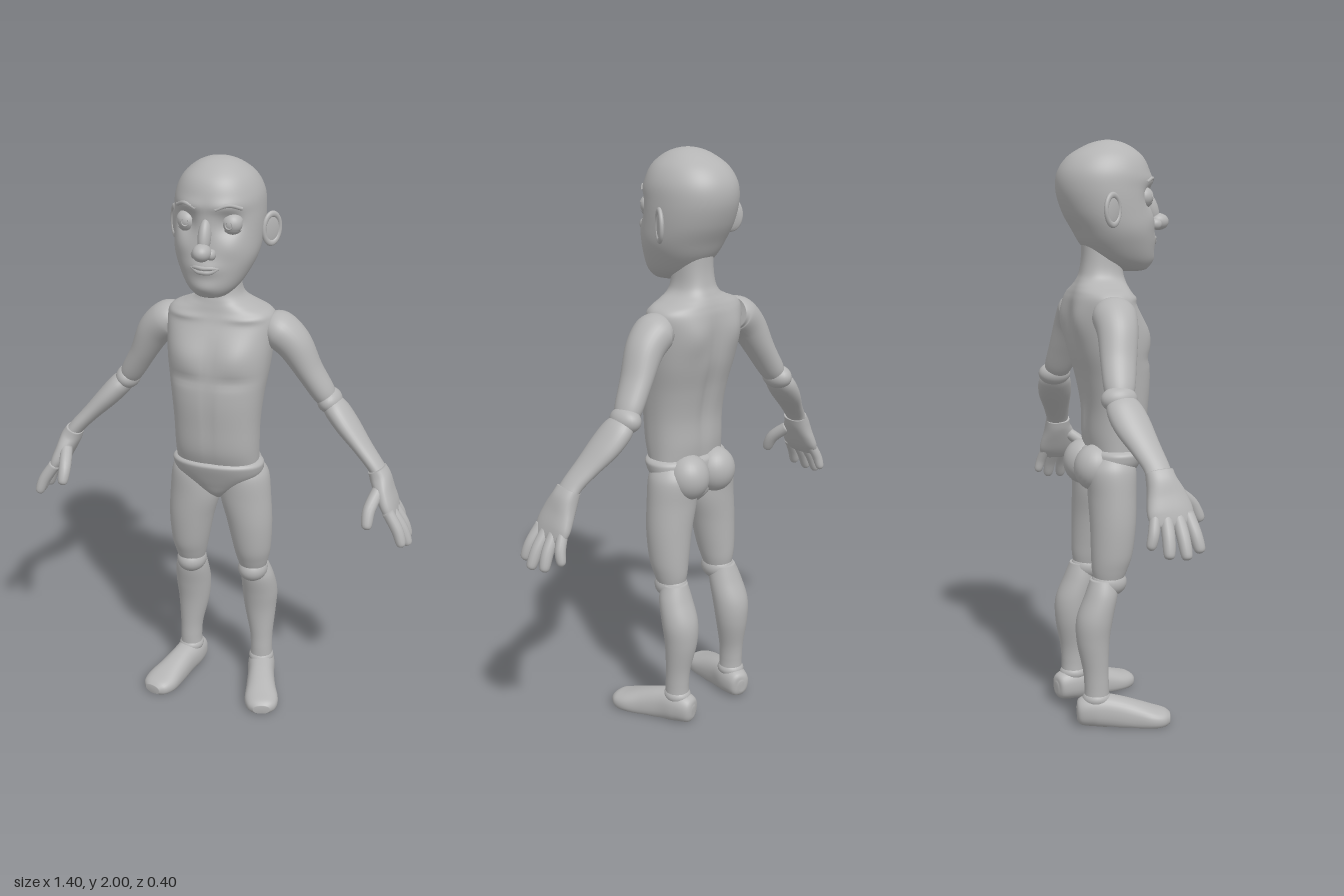
import * as THREE from 'three';

const V = (x, y, z) => new THREE.Vector3(x, y, z);
const bump = (dx, dy, sx, sy) => Math.exp(-((dx / sx) ** 2) - (dy / sy) ** 2);

// Smooth interpolation through a list of number rows
function sample(rows, t) {
  const f = t * (rows.length - 1);
  const i = Math.min(Math.floor(f), rows.length - 2);
  const k = f - i;
  const at = (n) => rows[Math.min(Math.max(n, 0), rows.length - 1)];
  const [p, q, r, s] = [at(i - 1), at(i), at(i + 1), at(i + 2)];
  return q.map((b, n) => b + 0.5 * k * (r[n] - p[n]
    + k * (2 * p[n] - 5 * b + 4 * r[n] - s[n] + k * (3 * (b - r[n]) + s[n] - p[n]))));
}

// Skin over sections [x, y, z, half-width along ref, half-depth across it]
function loft(rows, { ref = V(1, 0, 0), flat = false, n = 2, steps = 30, sides = 32, deform } = {}) {
  const pos = [], index = [];
  const centre = (t) => V(...sample(rows, Math.min(Math.max(t, 0), 1)).slice(0, 3));
  const power = (c) => Math.sign(c) * Math.abs(c) ** (2 / n);
  const put = (p) => { if (deform) deform(p); pos.push(p.x, p.y, p.z); };
  for (let i = 0; i <= steps; i++) {
    const t = i / steps;
    const s = sample(rows, t);
    const c = V(s[0], s[1], s[2]);
    const dir = centre(t + 0.01).sub(centre(t - 0.01)).normalize();
    if (flat) dir.set(0, Math.sign(dir.y), 0);
    const u = ref.clone().addScaledVector(dir, -ref.dot(dir)).normalize();
    const v = dir.clone().cross(u);
    for (let j = 0; j < sides; j++) {
      const a = (j / sides) * Math.PI * 2;
      put(c.clone().addScaledVector(u, s[3] * power(Math.cos(a))).addScaledVector(v, s[4] * power(Math.sin(a))));
      if (i < steps) {
        const p = i * sides + j, q = i * sides + (j + 1) % sides;
        index.push(p, q, q + sides, p, q + sides, p + sides);
      }
    }
  }
  // End caps
  const first = pos.length / 3, top = steps * sides;
  put(centre(0));
  put(centre(1));
  for (let j = 0; j < sides; j++) {
    const k = (j + 1) % sides;
    index.push(first, k, j, first + 1, top + j, top + k);
  }
  const geo = new THREE.BufferGeometry();
  geo.setAttribute('position', new THREE.Float32BufferAttribute(pos, 3));
  geo.setIndex(index);
  geo.computeVertexNormals();
  return geo;
}

// Upright body section from [height, half-width, front z, back z]
const upright = (rows) => rows.map(([y, w, f, b]) => [0, y, (f + b) / 2, w, (f - b) / 2]);

const ball = (c, r, rx = 0, ry = 0) => new THREE.SphereGeometry(1, 28, 20)
  .scale(...r).rotateX(rx).rotateY(ry).translate(...c);

// Rounded finger from base, middle and tip
function finger(a, m, b, r) {
  const tip = V(...b).sub(V(...m)).normalize();
  const near = V(...b).addScaledVector(tip, -0.012).toArray();
  return loft([[...a, r, r], [...m, r * 1.02, r], [...near, r * 0.85, r * 0.8], [...b, r * 0.2, r * 0.2]],
    { ref: V(0, 0.1, 1), steps: 16, sides: 14 });
}

function mirrored(geo) {
  const g = geo.clone().scale(-1, 1, 1);
  const a = g.index.array;
  for (let i = 0; i < a.length; i += 3) [a[i + 1], a[i + 2]] = [a[i + 2], a[i + 1]];
  return g;
}

export function createModel() {
  const model = new THREE.Group();
  model.name = 'figure';
  const skin = new THREE.MeshStandardMaterial({ color: 0xb4b4b4 });
  skin.name = 'grey clay';
  const add = (name, geo) => {
    const mesh = new THREE.Mesh(geo, skin);
    mesh.name = name;
    model.add(mesh);
  };
  const pair = (name, geo) => {
    add('left ' + name, geo);
    add('right ' + name, mirrored(geo));
  };

  // Torso and neck, with chest, shoulder blades and spine groove
  add('torso', loft(upright([
    [0.92, 0.145, 0.07, -0.09], [1.0, 0.147, 0.102, -0.1], [1.1, 0.15, 0.113, -0.103], [1.2, 0.16, 0.119, -0.122],
    [1.3, 0.175, 0.11, -0.148], [1.4, 0.185, 0.083, -0.155], [1.46, 0.188, 0.06, -0.153], [1.49, 0.172, 0.05, -0.146],
    [1.51, 0.125, 0.045, -0.138], [1.53, 0.086, 0.04, -0.128], [1.56, 0.069, 0.033, -0.116],
    [1.62, 0.064, 0.03, -0.108], [1.72, 0.064, 0.03, -0.11]]), {
    flat: true, n: 2.35, steps: 80, sides: 64,
    deform: (p) => {
      const x = Math.abs(p.x);
      if (p.z > 0) {
        p.z += 0.018 * bump(x - 0.085, p.y - 1.355, 0.07, 0.06) - 0.007 * bump(x - 0.08, p.y - 1.27, 0.07, 0.02)
          - 0.005 * bump(x, p.y - 1.15, 0.012, 0.15) + 0.008 * bump(x - 0.11, p.y - 1.475, 0.06, 0.012);
      } else if (p.z < -0.06) {
        p.z += 0.014 * bump(x, p.y - 1.2, 0.025, 0.22) - 0.018 * bump(x - 0.095, p.y - 1.4, 0.055, 0.07);
      }
    },
  }));

  // Pelvis and buttocks
  add('pelvis', loft(upright([
    [0.79, 0.012, 0.0, -0.07], [0.82, 0.045, 0.04, -0.1], [0.86, 0.105, 0.062, -0.11], [0.9, 0.152, 0.08, -0.115],
    [0.935, 0.163, 0.094, -0.112], [0.95, 0.158, 0.096, -0.107], [0.96, 0.14, 0.085, -0.095]]),
  { flat: true, n: 2.2, steps: 36, sides: 48 }));
  pair('buttock', ball([0.064, 0.895, -0.085], [0.074, 0.08, 0.073]));

  // Head, with eye sockets, brow, cheeks and chin
  add('head', loft(upright([
    [1.562, 0.03, 0.1, 0.03], [1.57, 0.055, 0.122, 0.0], [1.6, 0.088, 0.14, -0.06], [1.65, 0.118, 0.143, -0.108],
    [1.7, 0.138, 0.14, -0.138], [1.76, 0.146, 0.133, -0.172], [1.83, 0.148, 0.13, -0.194], [1.89, 0.142, 0.126, -0.19],
    [1.94, 0.118, 0.105, -0.158], [1.975, 0.08, 0.065, -0.105], [1.993, 0.042, 0.025, -0.06],
    [2.0, 0.003, -0.015, -0.02]]), {
    flat: true, n: 2.1, steps: 90, sides: 80,
    deform: (p) => {
      if (p.z < 0) return;
      const x = Math.abs(p.x);
      p.z += -0.024 * bump(x - 0.072, p.y - 1.808, 0.035, 0.035) + 0.009 * bump(x - 0.06, p.y - 1.865, 0.06, 0.02)
        + 0.007 * bump(x - 0.085, p.y - 1.735, 0.04, 0.035) + 0.01 * bump(x, p.y - 1.67, 0.05, 0.025)
        + 0.006 * bump(x, p.y - 1.605, 0.04, 0.022);
    },
  }));

  // Nose
  add('nose bridge', ball([0, 1.772, 0.138], [0.021, 0.058, 0.027], -0.32));
  add('nose tip', ball([0, 1.728, 0.166], [0.031, 0.029, 0.037]));
  pair('nostril', ball([0.026, 1.719, 0.148], [0.015, 0.018, 0.021]));

  // Eyes with lids and raised irises
  pair('eye', ball([0.075, 1.808, 0.083], [0.033, 0.033, 0.033]));
  pair('iris', new THREE.TorusGeometry(0.012, 0.0025, 8, 24).translate(0.073, 1.808, 0.114));
  const lid = (angle, tilt) => new THREE.SphereGeometry(0.0365, 28, 12, 0, Math.PI * 2, 0, angle)
    .rotateX(tilt).translate(0.075, 1.808, 0.083);
  pair('upper eyelid', lid(1.2, 0.12));
  pair('lower eyelid', lid(1.0, Math.PI - 0.12));
  pair('eyebrow', new THREE.TubeGeometry(new THREE.CatmullRomCurve3(
    [V(0.032, 1.858, 0.128), V(0.072, 1.872, 0.117), V(0.108, 1.858, 0.085)]), 16, 0.006, 8));

  // Mouth
  const lip = (y, z, r) => new THREE.TubeGeometry(new THREE.CatmullRomCurve3(
    [V(-0.044, 1.671, 0.133), V(-0.02, y, z - 0.004), V(0, y - 0.001, z), V(0.02, y, z - 0.004), V(0.044, 1.671, 0.133)]),
  24, r, 10);
  add('upper lip', lip(1.673, 0.15, 0.007));
  add('lower lip', lip(1.659, 0.148, 0.008));

  // Ears
  pair('ear', ball([0.163, 1.765, -0.055], [0.01, 0.054, 0.04], 0, -0.57));
  pair('ear rim', new THREE.TorusGeometry(0.033, 0.0075, 10, 32).rotateY(Math.PI / 2)
    .scale(1, 1.45, 1.05).rotateY(-0.57).translate(0.167, 1.766, -0.054));

  // Arms
  const along = { ref: V(0, 0, 1), steps: 36 };
  pair('upper arm', loft([
    [0.172, 1.428, -0.06, 0.066, 0.054], [0.2, 1.42, -0.06, 0.075, 0.064], [0.25, 1.372, -0.066, 0.068, 0.06],
    [0.3, 1.283, -0.08, 0.06, 0.046], [0.345, 1.208, -0.093, 0.052, 0.041], [0.365, 1.176, -0.1, 0.042, 0.034]], along));
  pair('elbow', ball([0.37, 1.172, -0.102], [0.043, 0.043, 0.06]));
  pair('forearm', loft([
    [0.372, 1.168, -0.1, 0.045, 0.034], [0.4, 1.14, -0.094, 0.06, 0.04], [0.442, 1.094, -0.08, 0.062, 0.038],
    [0.5, 1.033, -0.058, 0.05, 0.03], [0.545, 0.985, -0.042, 0.043, 0.027], [0.572, 0.95, -0.037, 0.043, 0.027]], along));

  // Hands
  pair('palm', loft([
    [0.558, 0.97, -0.036, 0.045, 0.03], [0.573, 0.94, -0.033, 0.05, 0.035], [0.592, 0.895, -0.024, 0.066, 0.031],
    [0.613, 0.85, -0.019, 0.075, 0.026], [0.63, 0.815, -0.019, 0.064, 0.016], [0.633, 0.808, -0.019, 0.03, 0.006]],
  { ...along, n: 2.4 }));
  const fingers = [
    ['index finger', 0.036, [0.675, 0.732, 0.058]], ['middle finger', 0.002, [0.69, 0.718, 0.009]],
    ['ring finger', -0.035, [0.68, 0.722, -0.046]], ['little finger', -0.069, [0.647, 0.746, -0.096]]];
  fingers.forEach(([name, z, tip], i) => {
    const base = [0.615, 0.846, z];
    const mid = [(base[0] + tip[0]) / 2 + 0.008, (base[1] + tip[1]) / 2, (z + tip[2]) / 2];
    pair(name, finger(base, mid, tip, i === 3 ? 0.018 : 0.0205));
  });
  pair('thumb', finger([0.575, 0.91, 0.01], [0.558, 0.862, 0.07], [0.557, 0.803, 0.105], 0.022));

  // Legs
  const leg = { flat: true, steps: 44, sides: 36 };
  pair('thigh', loft([
    [0.09, 0.935, -0.03, 0.06, 0.06], [0.092, 0.89, -0.034, 0.083, 0.084], [0.094, 0.8, -0.033, 0.091, 0.083],
    [0.109, 0.7, -0.035, 0.081, 0.079], [0.117, 0.6, -0.042, 0.068, 0.072], [0.118, 0.545, -0.05, 0.057, 0.062],
    [0.118, 0.505, -0.055, 0.046, 0.05]], leg));
  pair('knee', ball([0.118, 0.5, -0.053], [0.054, 0.049, 0.063]));
  pair('shin', loft([
    [0.122, 0.515, -0.075, 0.045, 0.044], [0.127, 0.46, -0.084, 0.06, 0.056], [0.13, 0.38, -0.108, 0.065, 0.063],
    [0.131, 0.3, -0.115, 0.058, 0.057], [0.138, 0.2, -0.108, 0.043, 0.045], [0.14, 0.14, -0.105, 0.04, 0.043],
    [0.14, 0.1, -0.105, 0.041, 0.043]], leg));

  // Feet with flat soles
  pair('ankle', ball([0.14, 0.095, -0.105], [0.046, 0.032, 0.05]));
  pair('foot', loft([
    [0.126, 0.045, -0.174, 0.012, 0.02], [0.129, 0.046, -0.162, 0.038, 0.045], [0.14, 0.052, -0.11, 0.05, 0.058],
    [0.156, 0.044, -0.05, 0.049, 0.058], [0.176, 0.03, 0.02, 0.055, 0.052], [0.195, 0.022, 0.08, 0.062, 0.04],
    [0.207, 0.02, 0.12, 0.052, 0.03], [0.213, 0.019, 0.14, 0.03, 0.017]],
  { n: 2.3, steps: 40, deform: (p) => { p.y = Math.max(p.y, 0); } }));

  return model;
}
